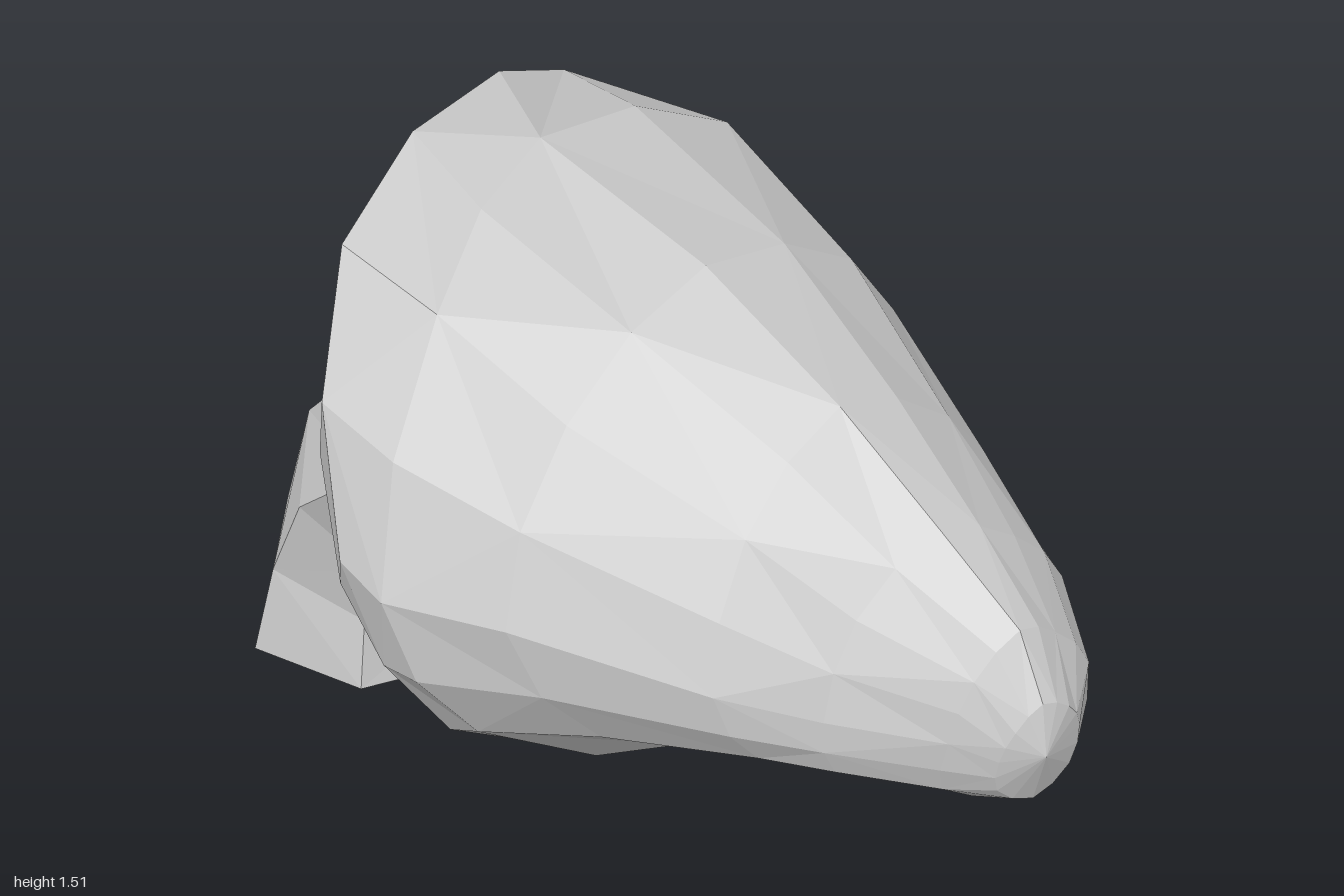
import * as THREE from 'three';

const V = (p) => new THREE.Vector3(...p);

// Skins a list of equal-length point rings and closes both ends with fans.
function loft(rings, startTip, endTip) {
  const n = rings[0].length;
  const pts = rings.flat();
  const index = [];
  for (let i = 0; i < rings.length - 1; i++) {
    for (let j = 0; j < n; j++) {
      const a = i * n + j, b = i * n + (j + 1) % n, c = a + n, d = b + n;
      if ((i + j) % 2) index.push(a, c, b, b, c, d);
      else index.push(a, c, d, a, d, b);
    }
  }
  const s = pts.length, last = (rings.length - 1) * n;
  pts.push(startTip, endTip);
  for (let j = 0; j < n; j++) {
    const k = (j + 1) % n;
    index.push(s, j, k, s + 1, last + k, last + j);
  }
  const geo = new THREE.BufferGeometry().setFromPoints(pts);
  geo.setIndex(index);
  geo.computeVertexNormals();
  return geo;
}

// Smooth closed loop through a few points, resampled to a fixed side count.
function loop(points, sides = 16) {
  const curve = new THREE.CatmullRomCurve3(points.map(V), true);
  return Array.from({ length: sides }, (_, i) => curve.getPoint(i / sides));
}

export function createModel() {
  const group = new THREE.Group();
  const material = new THREE.MeshStandardMaterial({ color: 0xcccccc, flatShading: true });
  const add = (name, geo) => {
    const mesh = new THREE.Mesh(geo, material);
    mesh.name = name;
    group.add(mesh);
  };

  // Cap sections, each clockwise from its top as seen from the front.
  // Wide rear part: tilted rim, shoulder, crown
  const rear = [
    [[0.02, 1.33, -0.7], [0.3, 1.08, -0.68], [0.48, 0.76, -0.54], [0.42, 0.39, -0.27],
      [0.07, 0.25, 0], [-0.38, 0.45, 0.12], [-0.61, 0.86, 0.08], [-0.47, 1.2, -0.28]],
    [[0, 1.48, -0.58], [0.34, 1.26, -0.72], [0.53, 0.88, -0.5], [0.51, 0.52, -0.25],
      [0.1, 0.27, 0.06], [-0.45, 0.53, 0.2], [-0.625, 0.96, 0.14], [-0.47, 1.41, -0.2]],
    [[-0.05, 1.51, -0.25], [0.42, 1.36, -0.4], [0.59, 1.02, -0.25], [0.59, 0.66, -0.1],
      [0.12, 0.33, 0.2], [-0.43, 0.6, 0.3], [-0.59, 0.94, 0.26], [-0.38, 1.38, 0.05]],
  ].map((r) => loop(r));

  // Front part narrowing to the blunt drooping nose
  const front = [
    [[0.08, 1.45, 0.2], [0.45, 1.3, 0.08], [0.61, 1, 0.1], [0.61, 0.72, 0.15],
      [0.16, 0.48, 0.36], [-0.25, 0.66, 0.47], [-0.42, 0.95, 0.44], [-0.25, 1.28, 0.33]],
    [[0.2, 1.3, 0.5], [0.46, 1.17, 0.45], [0.6, 0.95, 0.45], [0.6, 0.74, 0.48],
      [0.26, 0.56, 0.55], [-0.03, 0.7, 0.68], [-0.12, 0.87, 0.67], [-0.02, 1.13, 0.58]],
    [[0.29, 1.15, 0.72], [0.46, 1.07, 0.7], [0.59, 0.92, 0.68], [0.59, 0.73, 0.68],
      [0.35, 0.61, 0.71], [0.08, 0.7, 0.77], [0.05, 0.83, 0.77], [0.12, 1.02, 0.74]],
    [[0.36, 1.03, 0.89], [0.45, 0.98, 0.87], [0.54, 0.87, 0.86], [0.52, 0.7, 0.87],
      [0.4, 0.62, 0.87], [0.24, 0.69, 0.88], [0.23, 0.82, 0.9], [0.27, 0.95, 0.9]],
    [[0.37, 0.92, 0.97], [0.43, 0.89, 0.965], [0.47, 0.82, 0.95], [0.46, 0.73, 0.95],
      [0.39, 0.67, 0.95], [0.31, 0.72, 0.95], [0.3, 0.8, 0.96], [0.32, 0.87, 0.97]],
  ].map((r) => loop(r));

  // Underside: hole round the stem, raised ring, groove, rolled lip,
  // made from the rim loop as [scale, depth]
  const centre = V([-0.02, 0.79, -0.27]);
  const axis = V([0.47, 0.5, 0.73]).normalize();
  const under = [[0.26, 0.19], [0.38, 0.16], [0.48, 0.08], [0.6, 0.03], [0.78, 0.05], [0.84, -0.045]]
    .map(([scale, depth]) => rear[0].map((p) =>
      p.clone().sub(centre).multiplyScalar(scale).add(centre).addScaledVector(axis, depth)));
  add('cap', loft([...under, ...rear, ...front],
    centre.clone().addScaledVector(axis, 0.2), V([0.37, 0.82, 1])));

  // Bent six-sided stem: centre, sideways half-axis, backward half-axis
  const sections = [
    [[-0.285, 0.018, -0.767], [0.285, 0.015, 0.03], [-0.04, 0.012, -0.252]],
    [[-0.27, 0.24, -0.75], [0.245, 0, 0.02], [-0.03, 0.07, -0.205]],
    [[-0.26, 0.48, -0.69], [0.21, 0, -0.03], [-0.02, 0.15, -0.17]],
    [[-0.2, 0.71, -0.53], [0.19, 0, -0.12], [-0.03, 0.18, -0.12]],
    [[-0.09, 0.77, -0.34], [0.16, 0, -0.11], [-0.05, 0.14, -0.07]],
    [[0.05, 0.86, -0.12], [0.16, 0, -0.1], [-0.06, 0.15, -0.07]],
  ];
  const stem = sections.map(([c, side, back]) => Array.from({ length: 6 }, (_, i) => {
    const t = (i / 6) * Math.PI * 2;
    return V(c).addScaledVector(V(side), Math.cos(t)).addScaledVector(V(back), -Math.sin(t));
  }));
  add('stem', loft(stem, V(sections[0][0]), V(sections[5][0])));

  return group;
}
